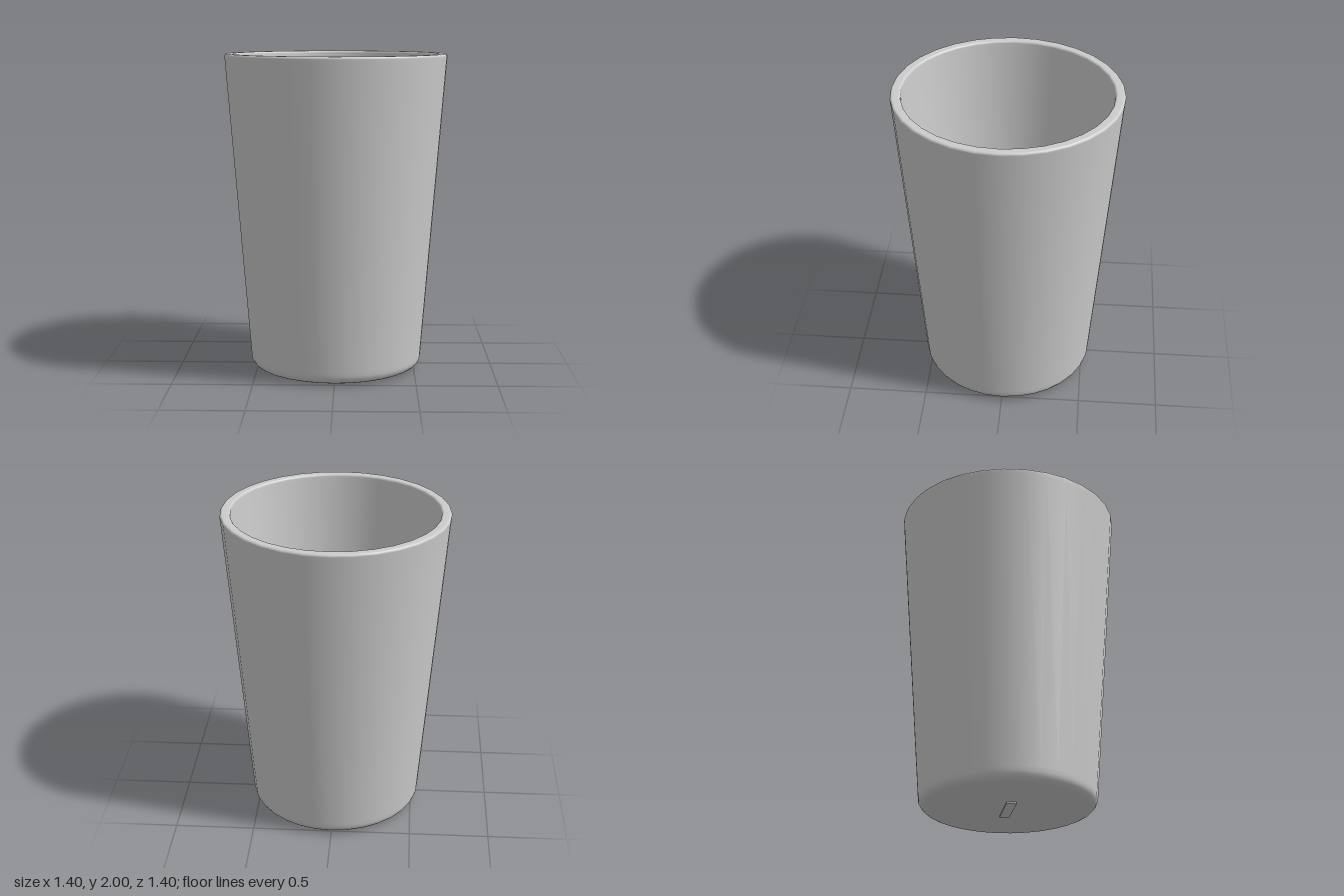
import * as THREE from 'three';

const SIDES = 32;
const material = new THREE.MeshStandardMaterial({ color: 0xcccccc });

// Points of a rounded corner, from angle a to b (degrees)
function corner(x, y, r, a, b, steps = 5) {
  return Array.from({ length: steps + 1 }, (_, i) => {
    const t = THREE.MathUtils.degToRad(a + ((b - a) * i) / steps);
    return new THREE.Vector2(x + r * Math.cos(t), y + r * Math.sin(t));
  });
}

function part(name, geometry) {
  const mesh = new THREE.Mesh(geometry, material);
  mesh.name = name;
  return mesh;
}

export function createModel() {
  const group = new THREE.Group();
  group.name = 'tumbler';
  const p = (x, y) => new THREE.Vector2(x, y);
  const floorY = 1.0;

  // Tapered shell: underside, rounded foot, outer wall, soft rim, inner wall
  const profile = [
    p(0, 0.01), p(0.47, 0.01),
    ...corner(0.487, 0.07, 0.06, -90, -4.5),
    p(0.549, 0.09), p(0.697, 1.965),
    ...corner(0.684, 1.985, 0.015, -4.5, 90),
    ...corner(0.652, 1.985, 0.015, 90, 175.5),
    p(0.635, 1.96), p(0.562, floorY),
  ];
  group.add(part('shell', new THREE.LatheGeometry(profile, SIDES)));

  // Flat inner floor
  const floor = part('innerFloor', new THREE.CircleGeometry(0.562, SIDES));
  floor.rotation.x = -Math.PI / 2;
  floor.position.y = floorY;
  group.add(floor);

  // Small plain raised bar under the base
  const bar = part('baseBar', new THREE.BoxGeometry(0.28, 0.012, 0.06));
  bar.position.y = 0.006;
  group.add(bar);

  return group;
}
